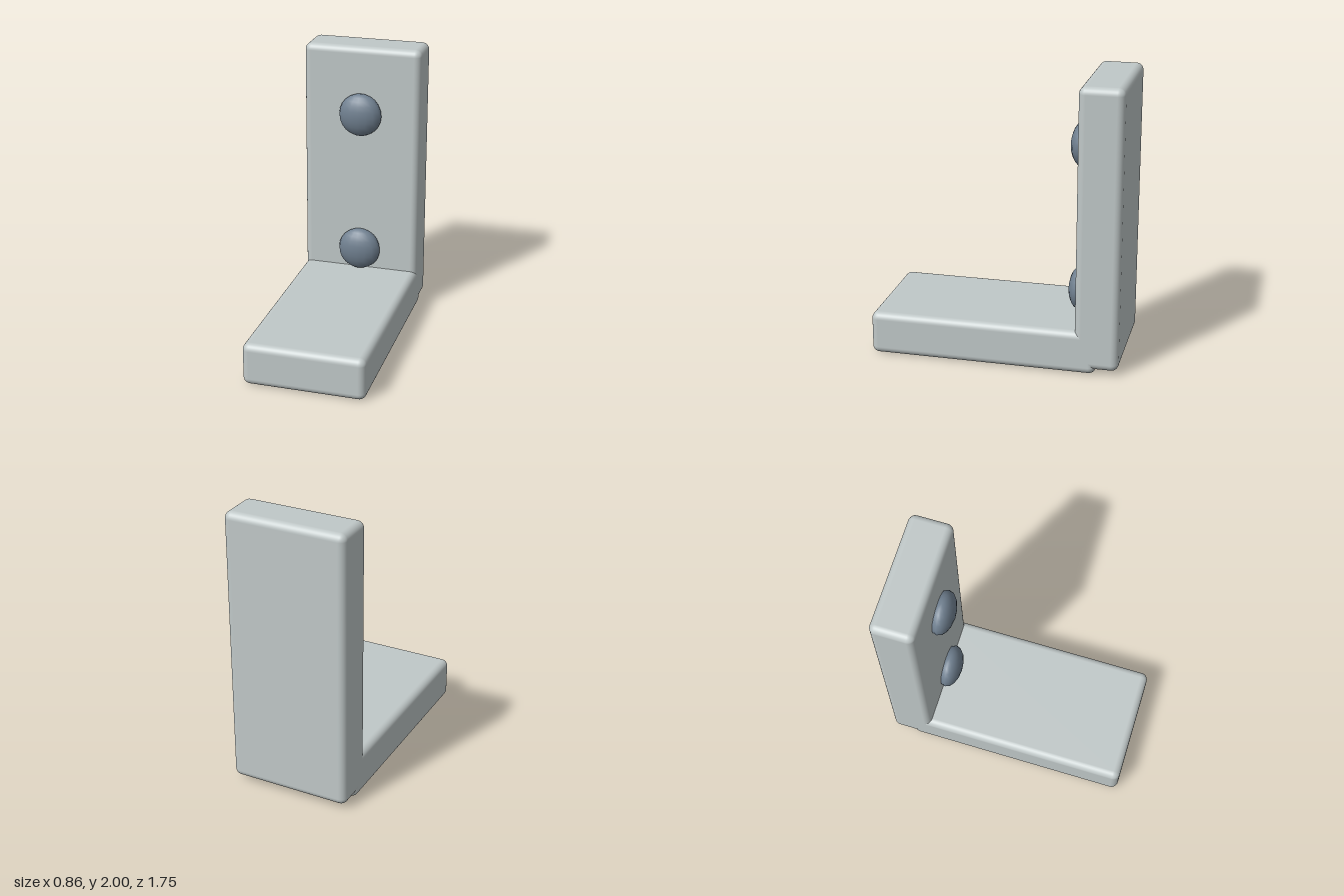
import * as THREE from 'three';
import { RoundedBoxGeometry } from 'three/addons/geometries/RoundedBoxGeometry.js';

export function createModel() {
  const group = new THREE.Group();
  const plateMaterial = new THREE.MeshStandardMaterial({ color: 0xc0c8c8 });
  const boltMaterial = new THREE.MeshStandardMaterial({ color: 0x708090 });

  // Rounded plate given by its y and z extents
  function addPlate(name, y0, y1, z0, z1) {
    const geometry = new RoundedBoxGeometry(0.86, y1 - y0, z1 - z0, 4, 0.05);
    const plate = new THREE.Mesh(geometry, plateMaterial);
    plate.name = name;
    plate.position.set(0, (y0 + y1) / 2, (z0 + z1) / 2);
    group.add(plate);
  }

  // L-shaped bracket: base runs slightly below and into the upright
  addPlate('basePlate', 0, 0.305, -0.72, 0.875);
  addPlate('uprightPlate', 0.035, 2, -0.875, -0.57);

  // Flattened bolt heads on the front of the upright
  const boltGeometry = new THREE.SphereGeometry(0.157, 16, 12);
  boltGeometry.scale(1, 1, 0.55);
  [['lowerBoltHead', 0.465], ['upperBoltHead', 1.51]].forEach(([name, y]) => {
    const bolt = new THREE.Mesh(boltGeometry, boltMaterial);
    bolt.name = name;
    bolt.position.set(0, y, -0.54);
    group.add(bolt);
  });

  return group;
}
